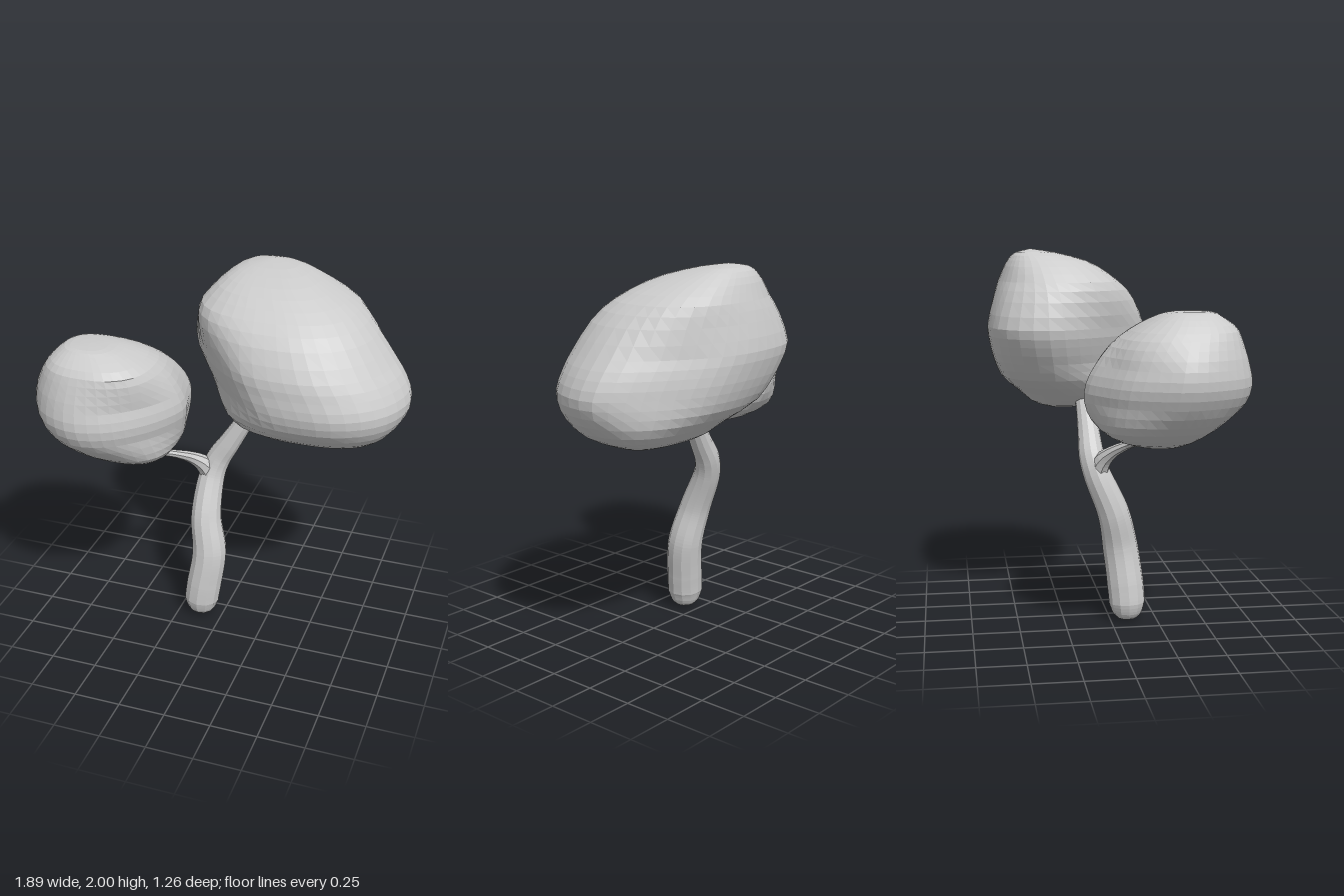
import * as THREE from 'three';

const { lerp, clamp } = THREE.MathUtils;
const material = new THREE.MeshStandardMaterial({ color: 0xcccccc, flatShading: true, side: THREE.DoubleSide });

function part(name, geometry) {
  geometry.computeVertexNormals();
  const mesh = new THREE.Mesh(geometry, material);
  mesh.name = name;
  return mesh;
}

// Tapering limb through points [x, y, z, radius].
function limb(name, points, segments, sides) {
  const curve = new THREE.CatmullRomCurve3(points.map(p => new THREE.Vector3(p[0], p[1], p[2])));
  const geometry = new THREE.TubeGeometry(curve, segments, 1, sides);
  const pos = geometry.attributes.position;
  const v = new THREE.Vector3();
  for (let i = 0; i <= segments; i++) {
    const u = i / segments;
    const t = curve.getUtoTmapping(u) * (points.length - 1);
    const k = Math.min(Math.floor(t), points.length - 2);
    const radius = lerp(points[k][3], points[k + 1][3], t - k);
    const centre = curve.getPointAt(u);
    for (let j = 0; j <= sides; j++) {
      const n = i * (sides + 1) + j;
      v.fromBufferAttribute(pos, n).sub(centre).multiplyScalar(radius).add(centre);
      pos.setXYZ(n, v.x, v.y, v.z);
    }
  }
  return part(name, geometry);
}

// Foliage blob: a plan outline [x, z] fitted to rows [y, xMin, xMax, zMin, zMax], top to bottom.
// Rows smaller than the plan turn rounder, so the blob stays full at its shoulders.
function crown(name, plan, rows, rings = 26, sides = 40) {
  const outline = new THREE.CatmullRomCurve3(plan.map(p => new THREE.Vector3(p[0], 0, p[1])), true)
    .getSpacedPoints(sides).slice(0, sides);
  const box = new THREE.Box3().setFromPoints(outline);
  const size = box.getSize(new THREE.Vector3());
  const spline = f => new THREE.CatmullRomCurve3(rows.map(f), false, 'catmullrom', 0.5);
  const xCurve = spline(r => new THREE.Vector3(r[1], r[0], r[2]));
  const zCurve = spline(r => new THREE.Vector3(r[3], r[0], r[4]));

  const positions = [], index = [];
  for (let i = 0; i <= rings; i++) {
    const a = xCurve.getPoint(i / rings), b = zCurve.getPoint(i / rings);
    const area = (a.z - a.x) * (b.z - b.x) / (size.x * size.z);
    const roundness = clamp(2.5 * (0.9 - area), 0, 1);
    for (const p of outline) {
      const nx = 2 * (p.x - box.min.x) / size.x - 1;
      const nz = 2 * (p.z - box.min.z) / size.z - 1;
      const reach = (Math.abs(nx) ** 2.5 + Math.abs(nz) ** 2.5) ** (1 / 2.5);
      const scale = lerp(1, 1 / reach, roundness);
      positions.push(
        lerp(a.x, a.z, (nx * scale + 1) / 2), a.y,
        lerp(b.x, b.z, (nz * scale + 1) / 2));
    }
  }
  for (let i = 0; i < rings; i++) {
    for (let j = 0; j < sides; j++) {
      const k = (j + 1) % sides;
      const a = i * sides + j, b = i * sides + k, c = a + sides, d = b + sides;
      if (i > 0) index.push(a, b, c);
      if (i < rings - 1) index.push(b, d, c);
    }
  }
  const geometry = new THREE.BufferGeometry();
  geometry.setAttribute('position', new THREE.Float32BufferAttribute(positions, 3));
  geometry.setIndex(index);
  return part(name, geometry);
}

export function createModel() {
  const tree = new THREE.Group();
  tree.name = 'tree';

  // Bent trunk with a rounded foot, running up into the large crown
  tree.add(limb('trunk', [
    [-0.12, 0, 0.09, 0], [-0.12, 0.015, 0.09, 0.052], [-0.12, 0.04, 0.09, 0.077],
    [-0.12, 0.1, 0.09, 0.098], [-0.108, 0.2, 0.083, 0.1], [-0.085, 0.4, 0.058, 0.097],
    [-0.117, 0.6, 0.015, 0.086], [-0.112, 0.82, -0.075, 0.073], [-0.085, 0.91, -0.098, 0.069],
    [-0.02, 1.02, -0.105, 0.06], [0.08, 1.19, -0.118, 0.048], [0.2, 1.4, -0.15, 0.04],
  ], 90, 12));

  // Thin side branch flaring out of the fork
  tree.add(limb('sideBranch', [
    [-0.11, 0.75, -0.05, 0.045], [-0.125, 0.83, -0.065, 0.056], [-0.155, 0.895, -0.045, 0.048],
    [-0.205, 0.948, 0, 0.032], [-0.27, 0.995, 0.07, 0.022], [-0.35, 1.03, 0.13, 0.019],
    [-0.43, 1.1, 0.18, 0.018],
  ], 20, 8));

  // Large crown
  tree.add(crown('largeCrown', [
    [-0.28, -0.34], [-0.24, -0.48], [-0.125, -0.59], [0.13, -0.64], [0.42, -0.62], [0.66, -0.51],
    [0.84, -0.38], [0.93, -0.27], [0.94, -0.15], [0.875, 0.03], [0.76, 0.15], [0.59, 0.23],
    [0.41, 0.25], [0.18, 0.22], [0, 0.1], [-0.15, -0.07], [-0.25, -0.23],
  ], [
    [2, 0.13, 0.13, -0.4, -0.4], [1.98, -0.01, 0.28, -0.48, -0.26], [1.93, -0.1, 0.43, -0.525, -0.08],
    [1.85, -0.18, 0.6, -0.56, 0.05], [1.75, -0.245, 0.72, -0.595, 0.16], [1.6, -0.28, 0.84, -0.63, 0.235],
    [1.5, -0.25, 0.91, -0.62, 0.25], [1.4, -0.19, 0.945, -0.595, 0.255], [1.3, -0.12, 0.915, -0.55, 0.22],
    [1.2, 0.03, 0.83, -0.44, 0.115], [1.15, 0.14, 0.74, -0.38, 0.01], [1.12, 0.28, 0.63, -0.29, -0.12],
    [1.11, 0.45, 0.45, -0.2, -0.2],
  ]));

  // Small crown
  tree.add(crown('smallCrown', [
    [-0.515, -0.19], [-0.38, -0.15], [-0.285, -0.13], [-0.225, -0.075], [-0.195, 0.05], [-0.165, 0.19],
    [-0.2, 0.305], [-0.3, 0.457], [-0.455, 0.585], [-0.62, 0.625], [-0.785, 0.56], [-0.9, 0.405],
    [-0.945, 0.255], [-0.91, 0.125], [-0.825, -0.025], [-0.68, -0.125],
  ], [
    [1.71, -0.61, -0.61, 0.33, 0.33], [1.705, -0.72, -0.51, 0.23, 0.43], [1.685, -0.77, -0.43, 0.16, 0.47],
    [1.63, -0.83, -0.31, 0.06, 0.55], [1.55, -0.89, -0.24, -0.05, 0.585], [1.45, -0.94, -0.19, -0.13, 0.615],
    [1.35, -0.945, -0.165, -0.18, 0.632], [1.25, -0.9, -0.18, -0.185, 0.6], [1.15, -0.82, -0.205, -0.14, 0.5],
    [1.07, -0.71, -0.26, -0.04, 0.39], [1.03, -0.6, -0.34, 0.08, 0.31], [1.015, -0.52, -0.4, 0.16, 0.28],
    [1.01, -0.47, -0.47, 0.22, 0.22],
  ]));

  return tree;
}
